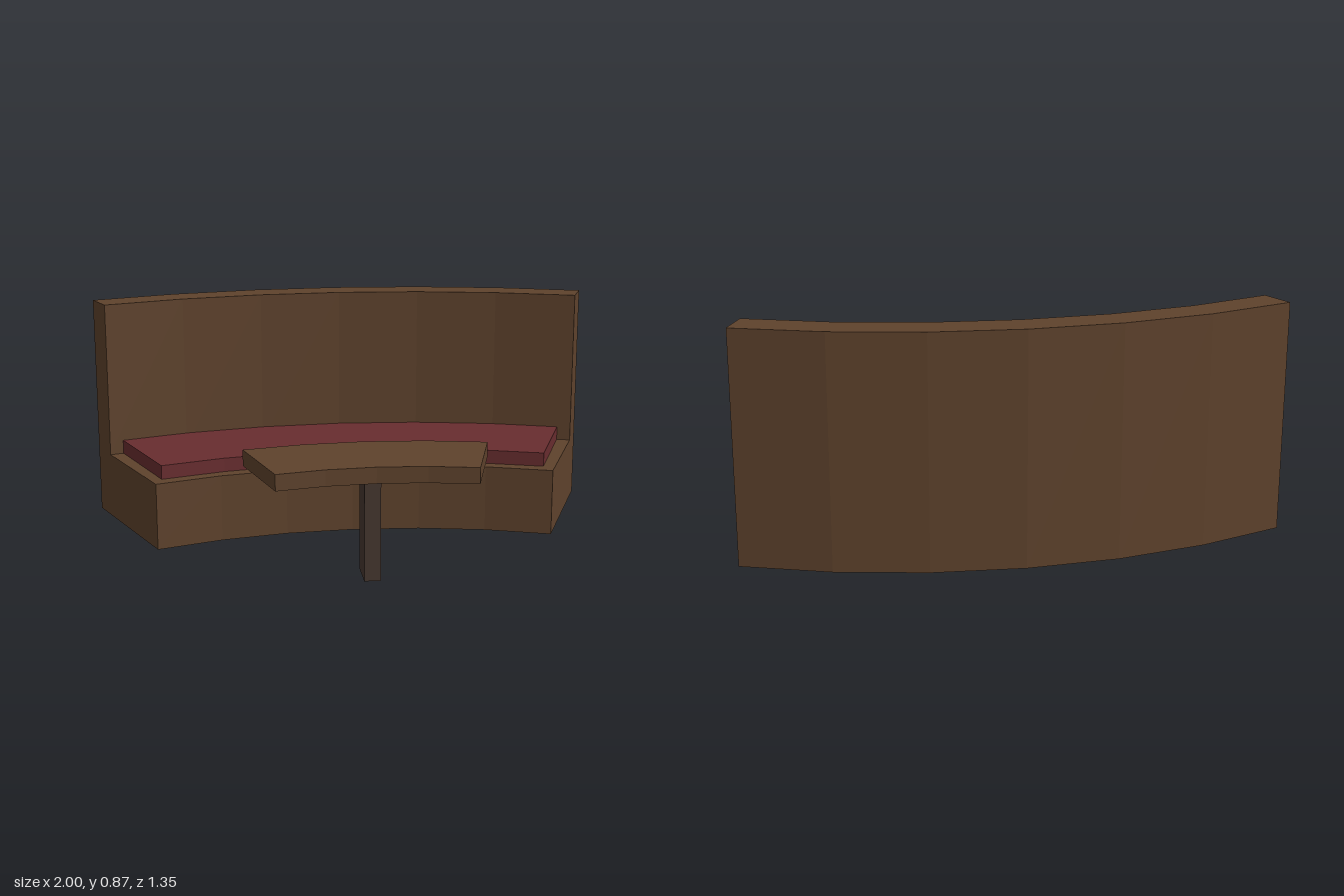
import * as THREE from 'three';

const CENTRE_Z = 1.936; // shared centre of all the arcs
const SEAT_Y = 0.26;

// Sweep a [radius, height] profile around the arc centre, in flat facets.
function arcSweep(profile, halfAngleDeg, segments) {
  const shape = new THREE.Shape(profile.map(([r, y]) => new THREE.Vector2(r, y)));
  const geometry = new THREE.ExtrudeGeometry(shape, { depth: 1, steps: segments, bevelEnabled: false });
  const half = THREE.MathUtils.degToRad(halfAngleDeg);
  const pos = geometry.attributes.position;
  for (let i = 0; i < pos.count; i++) {
    const r = pos.getX(i);
    const a = (pos.getZ(i) * 2 - 1) * half;
    pos.setXYZ(i, r * Math.sin(a), pos.getY(i), CENTRE_Z - r * Math.cos(a));
  }
  geometry.computeVertexNormals();
  return geometry;
}

const rect = (r0, r1, y0, y1) => [[r0, y0], [r1, y0], [r1, y1], [r0, y1]];

export function createModel() {
  const group = new THREE.Group();
  group.name = 'curvedBooth';

  const material = (name, color) => {
    const m = new THREE.MeshStandardMaterial({ color, flatShading: true });
    m.name = name;
    return m;
  };
  const wood = material('brownWood', 0x5e422c);
  const fabric = material('redFabric', 0x682d2f);
  const darkPost = material('darkPost', 0x45362f);

  const add = (name, geometry, mat) => {
    const mesh = new THREE.Mesh(geometry, mat);
    mesh.name = name;
    group.add(mesh);
    return mesh;
  };

  // Bench: plinth and tall backrest as one L-shaped section
  const bench = [[2.004, 0], [2.613, 0], [2.613, 0.872], [2.482, 0.872], [2.482, SEAT_Y], [2.004, SEAT_Y]];
  add('benchAndBackrest', arcSweep(bench, 22.5, 6), wood);

  // Seat cushion, slightly short of the bench ends
  add('seatCushion', arcSweep(rect(2.056, 2.482, SEAT_Y, 0.314), 21.25, 6), fabric);

  // Table top, concentric with the bench
  add('tableTop', arcSweep(rect(1.311, 1.656, 0.395, 0.455), 15.75, 4), wood);

  // Table post
  add('tablePost', new THREE.BoxGeometry(0.06, 0.395, 0.14), darkPost).position.set(0, 0.1975, 0.455);

  return group;
}
